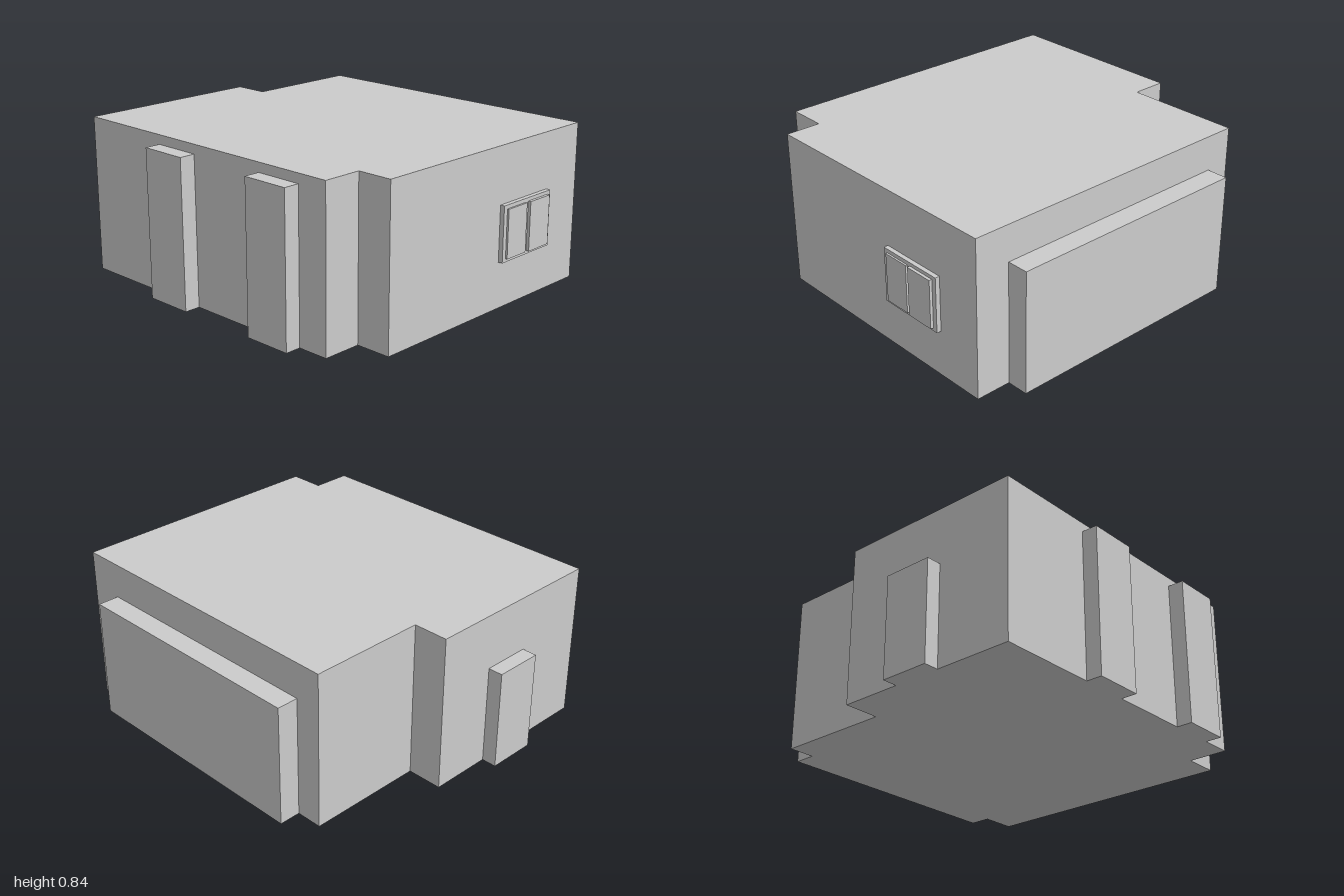
import * as THREE from 'three';

const material = new THREE.MeshStandardMaterial({ color: 0xcccccc, flatShading: true });

// Box given by its minimum and maximum corners
function block(name, [x0, y0, z0], [x1, y1, z1]) {
  const mesh = new THREE.Mesh(new THREE.BoxGeometry(x1 - x0, y1 - y0, z1 - z0), material);
  mesh.position.set((x0 + x1) / 2, (y0 + y1) / 2, (z0 + z1) / 2);
  mesh.name = name;
  return mesh;
}

export function createModel() {
  const model = new THREE.Group();
  model.name = 'building';

  // Main body: footprint with two notched corners (x, z), raised to roof height
  const plan = [
    [-0.92, 0.84], [0.77, 0.84], [0.77, 0.63], [0.96, 0.63],
    [0.96, -0.81], [-0.73, -0.81], [-0.73, -0.18], [-0.92, -0.18],
  ];
  const footprint = new THREE.Shape(plan.map(([x, z]) => new THREE.Vector2(x, -z)));
  const body = new THREE.Mesh(
    new THREE.ExtrudeGeometry(footprint, { depth: 0.84, bevelEnabled: false }).rotateX(-Math.PI / 2),
    material
  );
  body.name = 'mainBody';
  model.add(body);

  // Projections on the walls
  model.add(block('rearAnnex', [-0.59, 0, -0.925], [0.77, 0.65, -0.81]));
  model.add(block('sideProjection', [-1, 0, 0.155], [-0.92, 0.54, 0.42]));
  for (const [x0, x1] of [[-0.38, -0.115], [0.34, 0.6]]) {
    model.add(block('frontPilaster', [x0, 0, 0.84], [x1, 0.79, 0.925]));
  }

  // Double window on the left wall
  const win = new THREE.Group();
  win.name = 'window';
  win.add(block('windowFrame', [0.96, 0.245, -0.555], [0.984, 0.54, -0.175]));
  win.add(block('frontSash', [0.984, 0.262, -0.35], [0.994, 0.52, -0.2]));
  win.add(block('rearSash', [0.984, 0.262, -0.53], [1, 0.522, -0.37]));
  model.add(win);

  return model;
}
